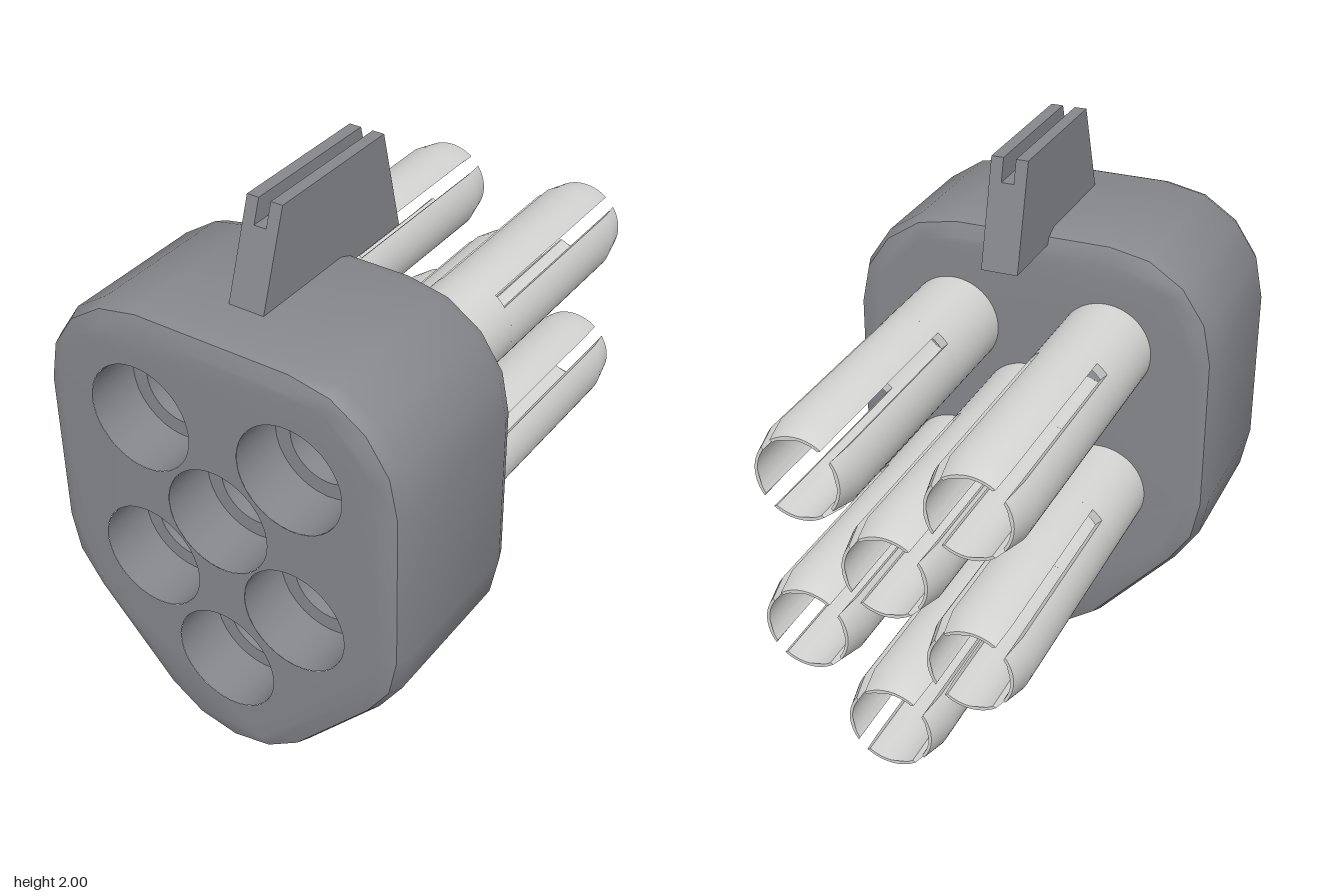
import * as THREE from 'three';
import { mergeGeometries, toCreasedNormals } from 'three/addons/utils/BufferGeometryUtils.js';

const X = 0.285;
const SOCKETS = [[-X, 1.28], [X, 1.28], [0, 0.99], [-X, 0.715], [X, 0.715], [0, 0.4]];
const FRONT = 0.93, BACK = 0.25, TIP = -0.93, SLOT_END = -0.11;
const WIDE = 0.193, BORE = 0.137, OUTER = 0.17;
const CREASE = 0.6;

// Rounded shield outline: arcs of radius r round the outer sockets
function outline(r) {
  const arcs = [[0, 0.4, -6, -2], [X, 0.715, -2, 0], [X, 1.28, 0, 4], [-X, 1.28, 4, 8], [-X, 0.715, 8, 10]];
  const pts = [];
  for (const [cx, cy, from, to] of arcs) {
    for (let k = from; k <= to; k++) {
      const a = k * Math.PI / 8;
      pts.push(new THREE.Vector2(cx + r * Math.cos(a), cy + r * Math.sin(a)));
    }
  }
  return pts;
}

// Flat cap with socket holes
function cap(r, holeRadius, z, flip) {
  const shape = new THREE.Shape(outline(r));
  for (const [x, y] of SOCKETS) shape.holes.push(new THREE.Path().absarc(x, y, holeRadius, 0, Math.PI * 2));
  const g = new THREE.ShapeGeometry(shape, 32).toNonIndexed();
  if (flip) {
    const p = g.attributes.position;
    for (let i = 0; i < p.count; i += 3) {
      const x = p.getX(i), y = p.getY(i);
      p.setXY(i, p.getX(i + 1), p.getY(i + 1));
      p.setXY(i + 1, x, y);
    }
  }
  g.translate(0, 0, z);
  g.deleteAttribute('uv');
  g.deleteAttribute('normal');
  return g;
}

// Bevelled shell lofted through outlines, closed by the two caps
function bodyGeometry() {
  const levels = [[0.325, BACK], [0.375, 0.27], [0.395, 0.32], [0.395, 0.86], [0.375, 0.91], [0.325, FRONT]];
  const rings = levels.map(([r, z]) => outline(r).map(p => [p.x, p.y, z]));
  const pos = [];
  for (let k = 0; k < rings.length - 1; k++) {
    const n = rings[k].length;
    for (let i = 0; i < n; i++) {
      const j = (i + 1) % n;
      const a = rings[k][i], b = rings[k][j], c = rings[k + 1][j], d = rings[k + 1][i];
      pos.push(...a, ...b, ...c, ...a, ...c, ...d);
    }
  }
  const shell = new THREE.BufferGeometry();
  shell.setAttribute('position', new THREE.Float32BufferAttribute(pos, 3));
  return toCreasedNormals(mergeGeometries([shell, cap(0.325, WIDE, FRONT, false), cap(0.325, BORE, BACK, true)]), CREASE);
}

// Stepped inner wall of a socket, facing inward
function socketGeometry() {
  const profile = [[WIDE, FRONT], [WIDE, 0.73], [BORE, 0.73], [BORE, BACK]].map(p => new THREE.Vector2(...p));
  return toCreasedNormals(new THREE.LatheGeometry(profile, 32).rotateX(Math.PI / 2), CREASE);
}

// Unslotted root of a contact tube
function sleeveGeometry() {
  const shape = new THREE.Shape().absarc(0, 0, OUTER, 0, Math.PI * 2);
  shape.holes.push(new THREE.Path().absarc(0, 0, BORE, 0, Math.PI * 2));
  const g = new THREE.ExtrudeGeometry(shape, { depth: BACK - SLOT_END, bevelEnabled: false, curveSegments: 32 });
  return toCreasedNormals(g.translate(0, 0, SLOT_END), CREASE);
}

// One quarter of the slotted tube, its outside tapering at the tip
function petalGeometry() {
  const half = r => Math.PI / 4 - Math.asin(0.025 / r);
  const shape = new THREE.Shape();
  shape.absarc(0, 0, OUTER, -half(OUTER), half(OUTER), false);
  shape.absarc(0, 0, BORE, half(BORE), -half(BORE), true);
  const g = new THREE.ExtrudeGeometry(shape, { depth: 2, steps: 2, bevelEnabled: false, curveSegments: 8 });
  const p = g.attributes.position;
  const stops = [TIP, -0.83, SLOT_END];
  for (let i = 0; i < p.count; i++) {
    const x = p.getX(i), y = p.getY(i), step = Math.round(p.getZ(i));
    const s = step === 0 && Math.hypot(x, y) > 0.155 ? 0.147 / OUTER : 1;
    p.setXYZ(i, x * s, y * s, stops[step]);
  }
  return toCreasedNormals(g, 0.35);
}

// Grooved key: U section swept along z, its ends leaning inward with height
function keyGeometry() {
  const w = 0.065, s = 0.022, low = 1.63, floor = 1.92, top = 2;
  const section = [[-w, low], [w, low], [w, top], [s, top], [s, floor], [-s, floor], [-s, top], [-w, top]];
  const shape = new THREE.Shape(section.map(p => new THREE.Vector2(...p)));
  const g = new THREE.ExtrudeGeometry(shape, { depth: 1, bevelEnabled: false });
  const p = g.attributes.position;
  for (let i = 0; i < p.count; i++) {
    const t = (p.getY(i) - low) / (top - low);
    const back = THREE.MathUtils.lerp(-0.015, 0.075, t);
    const front = THREE.MathUtils.lerp(0.745, 0.615, t);
    p.setZ(i, THREE.MathUtils.lerp(back, front, p.getZ(i)));
  }
  g.computeVertexNormals();
  return g;
}

export function createModel() {
  const housing = new THREE.MeshStandardMaterial({ color: 0x85878b });
  housing.name = 'housing grey';
  const metal = new THREE.MeshStandardMaterial({ color: 0xd4d4d3 });
  metal.name = 'contact silver';

  const model = new THREE.Group();
  model.name = 'connector';
  const add = (parent, name, geometry, material) => {
    const mesh = new THREE.Mesh(geometry, material);
    mesh.name = name;
    parent.add(mesh);
    return mesh;
  };

  add(model, 'body', bodyGeometry(), housing);
  add(model, 'key', keyGeometry(), housing);

  // Sockets with a slotted contact tube behind each
  const socket = socketGeometry(), sleeve = sleeveGeometry(), petal = petalGeometry();
  for (const [x, y] of SOCKETS) {
    add(model, 'socket', socket, housing).position.set(x, y, 0);
    const contact = new THREE.Group();
    contact.name = 'contact';
    contact.position.set(x, y, 0);
    add(contact, 'sleeve', sleeve, metal);
    for (let q = 0; q < 4; q++) add(contact, 'petal', petal, metal).rotation.z = q * Math.PI / 2;
    model.add(contact);
  }
  return model;
}
